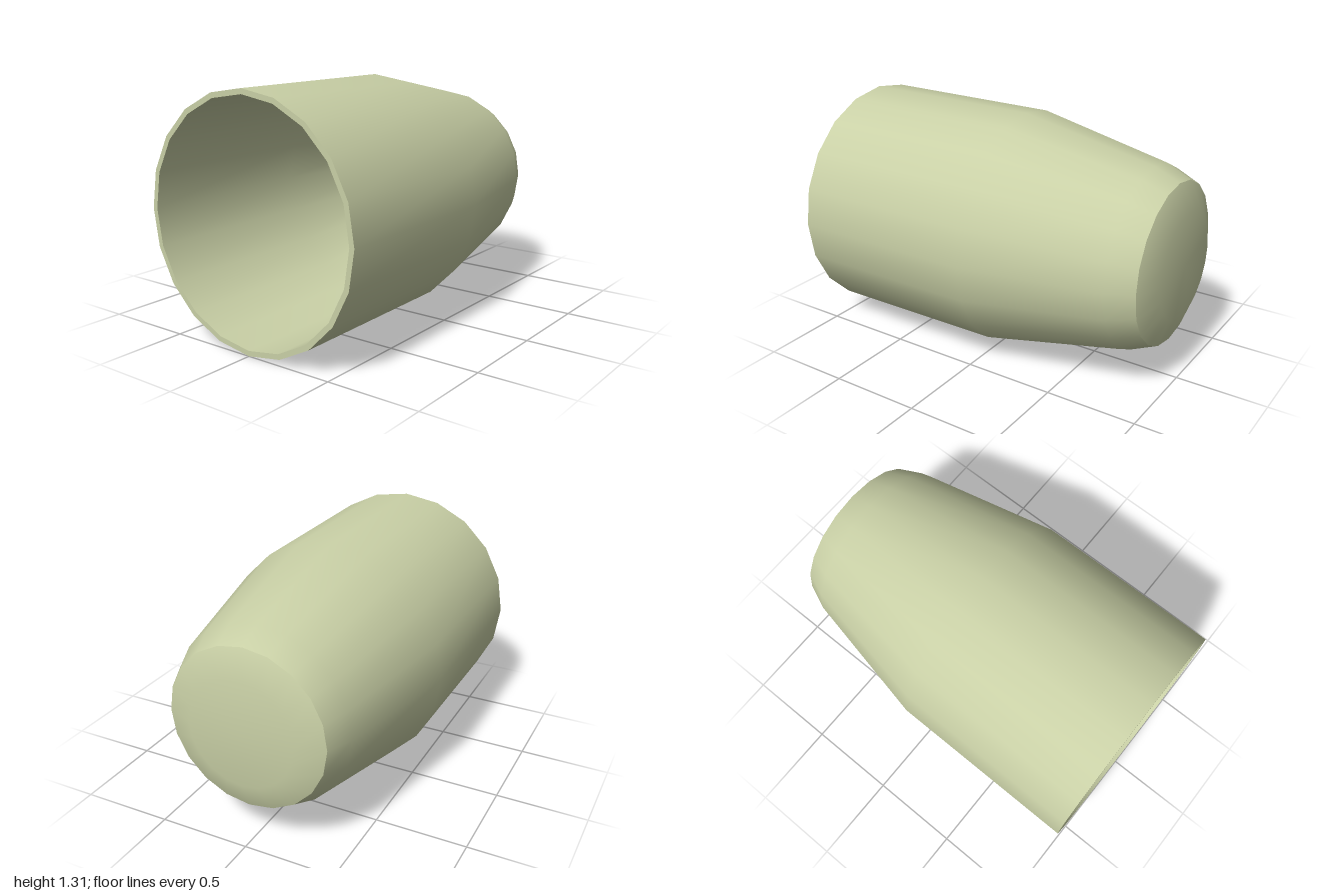
import * as THREE from 'three';

const SIDES = 20;
const AXIS_HEIGHT = 0.66;

export function createModel() {
  const group = new THREE.Group();
  group.name = 'hollowCap';

  const paleOlive = new THREE.MeshStandardMaterial({ color: 0xc9d0a6 });
  paleOlive.name = 'paleOlive';

  // Each part is turned around the z axis from [radius, z] points;
  // separate parts keep a sharp edge between them.
  function turned(name, points) {
    const profile = points.map(([r, z]) => new THREE.Vector2(r, z));
    const geometry = new THREE.LatheGeometry(profile, SIDES);
    geometry.rotateX(Math.PI / 2);
    const mesh = new THREE.Mesh(geometry, paleOlive);
    mesh.name = name;
    mesh.position.y = AXIS_HEIGHT;
    group.add(mesh);
  }

  // Closed rear end with a bevelled edge
  turned('rearCap', [[0, -1], [0.29, -1], [0.437, -0.94]]);
  // Tapered outside wall
  turned('outerWall', [[0.437, -0.94], [0.497, -0.8], [0.653, -0.04], [0.657, 1]]);
  // Flat ring at the open front
  turned('frontRim', [[0.657, 1], [0.629, 1]]);
  // Inside wall, following the outside at a constant thickness
  turned('innerWall', [[0.629, 1], [0.625, -0.03], [0.47, -0.79], [0.415, -0.92]]);
  // Floor of the hollow
  turned('innerFloor', [[0.415, -0.92], [0.275, -0.97], [0, -0.97]]);

  return group;
}
